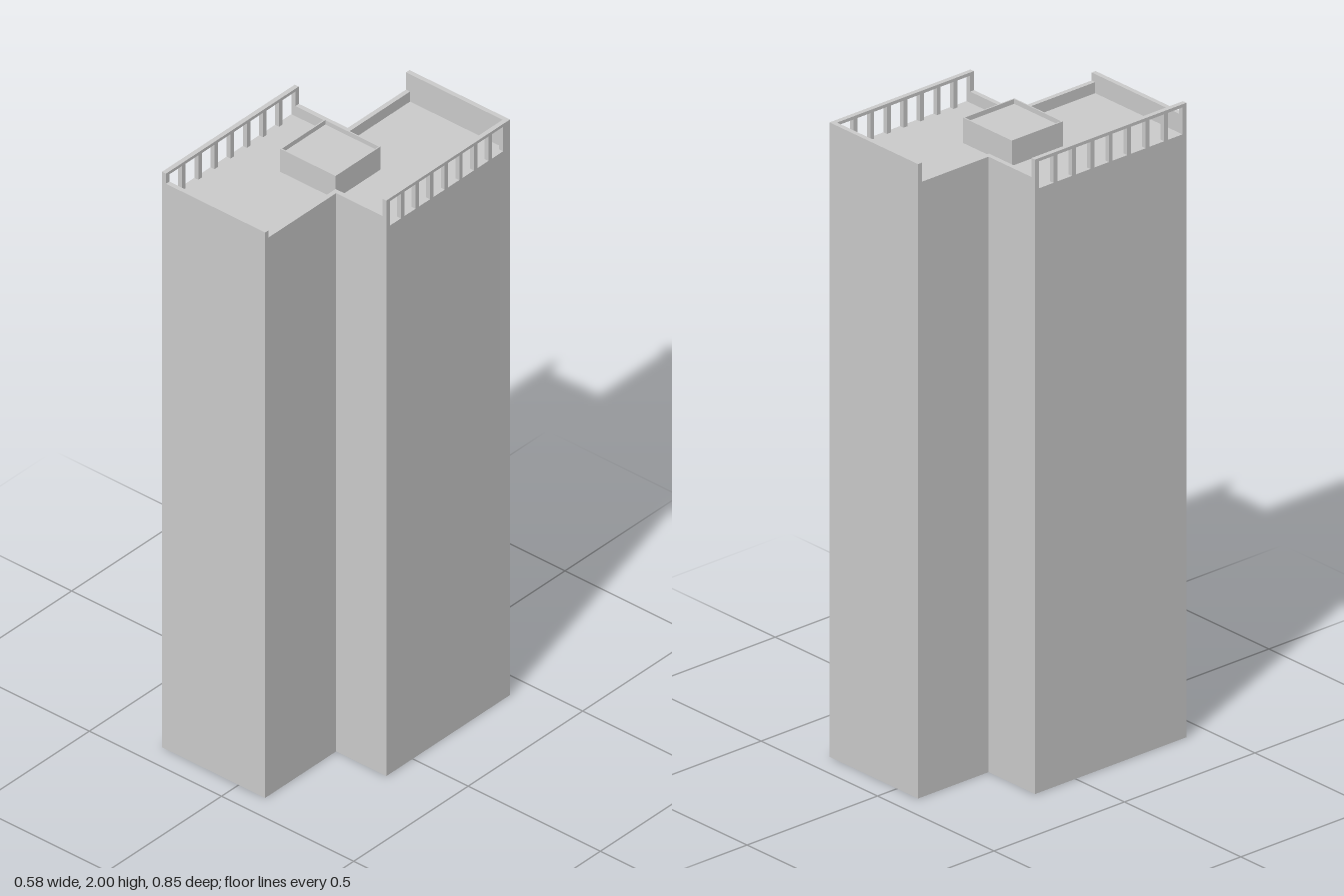
import * as THREE from 'three';

const ROOF = 1.905, TOP = 2, T = 0.015;

export function createModel() {
  const model = new THREE.Group();
  const mat = new THREE.MeshStandardMaterial({ color: 0xcccccc, flatShading: true });
  const shellMat = new THREE.MeshStandardMaterial({ color: 0xcccccc, flatShading: true, side: THREE.DoubleSide });

  // Box given by its bounds on each axis
  function box(parent, name, [x0, x1], [y0, y1], [z0, z1]) {
    const m = new THREE.Mesh(new THREE.BoxGeometry(x1 - x0, y1 - y0, z1 - z0), mat);
    m.position.set((x0 + x1) / 2, (y0 + y1) / 2, (z0 + z1) / 2);
    m.name = name;
    parent.add(m);
  }

  // Footprint of two offset wings as (x, z), anticlockwise seen from above
  const outline = [
    [-0.29, 0.425], [0.10, 0.425], [0.10, 0.115], [0.29, 0.115],
    [0.29, -0.425], [-0.09, -0.425], [-0.09, -0.155], [-0.29, -0.155],
  ];

  // Facades: hollow tower, open underneath
  const facades = new THREE.Group();
  facades.name = 'facades';
  outline.forEach(([x0, z0], i) => {
    const [x1, z1] = outline[(i + 1) % outline.length];
    const wall = new THREE.Mesh(new THREE.PlaneGeometry(Math.hypot(x1 - x0, z1 - z0), ROOF), shellMat);
    wall.position.set((x0 + x1) / 2, ROOF / 2, (z0 + z1) / 2);
    wall.rotation.y = -Math.atan2(z1 - z0, x1 - x0);
    wall.name = 'facade';
    facades.add(wall);
  });
  model.add(facades);

  // Flat roof deck
  const shape = new THREE.Shape(outline.map(([x, z]) => new THREE.Vector2(x, -z)));
  const roof = new THREE.Mesh(new THREE.ShapeGeometry(shape).rotateX(-Math.PI / 2), shellMat);
  roof.position.y = ROOF;
  roof.name = 'roofDeck';
  model.add(roof);

  // Solid parapets of differing heights
  const parapets = new THREE.Group();
  parapets.name = 'parapets';
  box(parapets, 'frontParapet', [-0.29, 0.10], [ROOF, 1.965], [0.425 - T, 0.425]);
  box(parapets, 'frontWingSideParapet', [0.10 - T, 0.10], [ROOF, 1.94], [0.115 - T, 0.425 - T]);
  box(parapets, 'backWingFrontParapet', [0.10, 0.29 - T], [ROOF, 1.94], [0.115 - T, 0.115]);
  box(parapets, 'backParapet', [-0.09, 0.29], [ROOF, TOP], [-0.425, -0.425 + T]);
  box(parapets, 'backWingSideParapet', [-0.09, -0.09 + T], [ROOF, 1.94], [-0.425 + T, -0.155 + T]);
  box(parapets, 'frontWingBackParapet', [-0.29 + T, -0.09], [ROOF, 1.94], [-0.155, -0.155 + T]);
  model.add(parapets);

  // Open railings on the two long outer sides
  function railing(name, x0, z0, z1, bays = 8) {
    const g = new THREE.Group();
    g.name = name;
    const rail = 0.01;
    box(g, 'handrail', [x0, x0 + T], [TOP - rail, TOP], [z0, z1]);
    for (let i = 0; i <= bays; i++) {
      const z = z0 + (z1 - z0 - T) * i / bays;
      box(g, 'railPost', [x0, x0 + T], [ROOF, TOP - rail], [z, z + T]);
    }
    model.add(g);
  }
  railing('leftRailing', 0.29 - T, -0.425 + T, 0.115);
  railing('rightRailing', -0.29, -0.155, 0.425);

  // Rooftop plant room with a thin raised rim
  const plant = new THREE.Group();
  plant.name = 'plantRoom';
  const px = [-0.125, 0.085], pz = [-0.097, 0.1], lid = 1.97, high = 1.985, r = 0.004;
  box(plant, 'plantRoomBody', px, [ROOF, lid], pz);
  for (const x of [px[0], px[1] - r]) box(plant, 'plantRoomRim', [x, x + r], [lid, high], pz);
  for (const z of [pz[0], pz[1] - r]) box(plant, 'plantRoomRim', [px[0] + r, px[1] - r], [lid, high], [z, z + r]);
  model.add(plant);

  return model;
}
